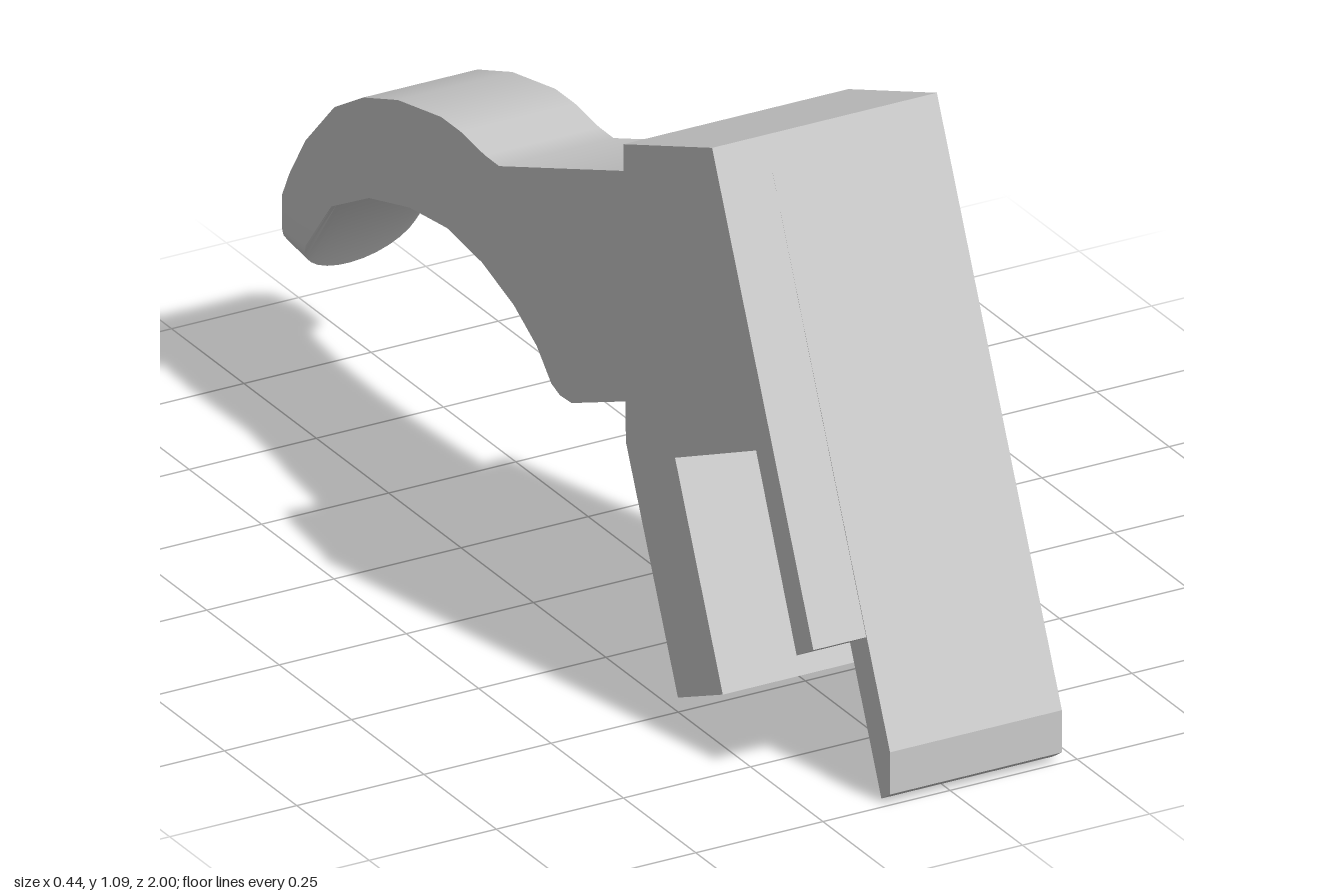
import * as THREE from 'three';
import { toCreasedNormals } from 'three/addons/utils/BufferGeometryUtils.js';

const material = new THREE.MeshStandardMaterial({ color: 0xcccccc });

// Extrude a side profile of [z, y] points from x0 to x1.
function extrudeProfile(points, x0, x1, steps = 1) {
  const shape = new THREE.Shape(points.map(([z, y]) => new THREE.Vector2(-z, y)));
  const geometry = new THREE.ExtrudeGeometry(shape, { depth: x1 - x0, steps, bevelEnabled: false });
  return geometry.rotateY(Math.PI / 2).translate(x0, 0, 0);
}

function addPart(group, name, geometry, crease = 0.6) {
  const mesh = new THREE.Mesh(toCreasedNormals(geometry, crease), material);
  mesh.name = name;
  group.add(mesh);
}

// Curved arm with a rounded tip and a slightly drafted underside.
function armGeometry(x0, x1) {
  const under = [
    [0, 0.372], [-0.04, 0.37], [-0.07, 0.38], [-0.12, 0.43], [-0.2, 0.475],
    [-0.31, 0.51], [-0.43, 0.525], [-0.56, 0.51], [-0.7, 0.47], [-0.83, 0.4], [-0.918, 0.29],
  ];
  const tipInner = under[under.length - 1];
  const tipOuter = [-1, 0.275];
  const top = [
    [-1, 0.34], [-0.975, 0.39], [-0.92, 0.475], [-0.82, 0.58], [-0.72, 0.64], [-0.6, 0.685],
    [-0.45, 0.715], [-0.38, 0.715], [-0.3, 0.705], [-0.25, 0.705], [0.22, 0.89],
  ];
  const geometry = extrudeProfile([[0.22, 0.455], ...under, tipOuter, ...top], x0, x1, 14);
  const pos = geometry.attributes.position;
  for (let i = 0; i < pos.count; i++) {
    const t = (pos.getX(i) - x0) / (x1 - x0);
    let y = pos.getY(i), z = pos.getZ(i);
    const at = ([pz, py]) => Math.hypot(pz - z, py - y) < 1e-4;
    const bulge = Math.sin(Math.PI * t);
    const drop = under.some(at) ? 0.012 * (1 - t) : 0;
    if (at(tipInner)) { y -= 0.082 * bulge; z -= 0.042 * bulge; }
    else if (at(tipOuter)) y -= 0.055 * bulge;
    // Cosine spacing turns the tip into an even half ellipse.
    const x = x0 + (x1 - x0) * (1 - Math.cos(Math.PI * t)) / 2;
    pos.setXYZ(i, x, y - drop, z);
  }
  return geometry;
}

// Concave flare joining the arm to the block, lofted through rectangular rings.
function collarGeometry() {
  const rings = [ // z, left x, right x, bottom y, top y
    [0.268, 0.09, -0.218, 0.412, 0.97],
    [0.252, 0.07, -0.2, 0.428, 0.942],
    [0.236, 0.055, -0.183, 0.443, 0.914],
    [0.218, 0.05, -0.175, 0.455, 0.89],
  ];
  const corners = rings.map(([z, l, r, b, t]) => [[r, b, z], [l, b, z], [l, t, z], [r, t, z]]);
  const data = [];
  for (let i = 0; i < rings.length - 1; i++) {
    for (let k = 0; k < 4; k++) {
      const n = (k + 1) % 4;
      const a = corners[i][k], b = corners[i][n], c = corners[i + 1][n], d = corners[i + 1][k];
      data.push(...a, ...c, ...b, ...a, ...d, ...c);
    }
  }
  const geometry = new THREE.BufferGeometry();
  geometry.setAttribute('position', new THREE.Float32BufferAttribute(data, 3));
  return geometry;
}

export function createModel() {
  const group = new THREE.Group();
  group.name = 'leverClip';

  // Slotted block; one corner of the front plate is cut short.
  const body = [
    [0.72, 0.58], [0.44, 0.45], [0.605, 0.07], [0.45, 0], [0.27, 0.41], [0.262, 0.97], [0.568, 1.09],
  ];
  const longTang = [[1, 0.1], [1, 0.02], [0.97, 0]];
  const shortTang = [[0.918, 0.284], [0.86, 0.25]];
  addPart(group, 'blockLongPlate', extrudeProfile([...body, ...longTang], -0.118, 0.22), 0.2);
  addPart(group, 'blockShortPlate', extrudeProfile([...body, ...shortTang], -0.222, -0.118), 0.2);

  addPart(group, 'collar', collarGeometry());
  addPart(group, 'arm', armGeometry(-0.175, 0.05), 0.55);
  return group;
}
